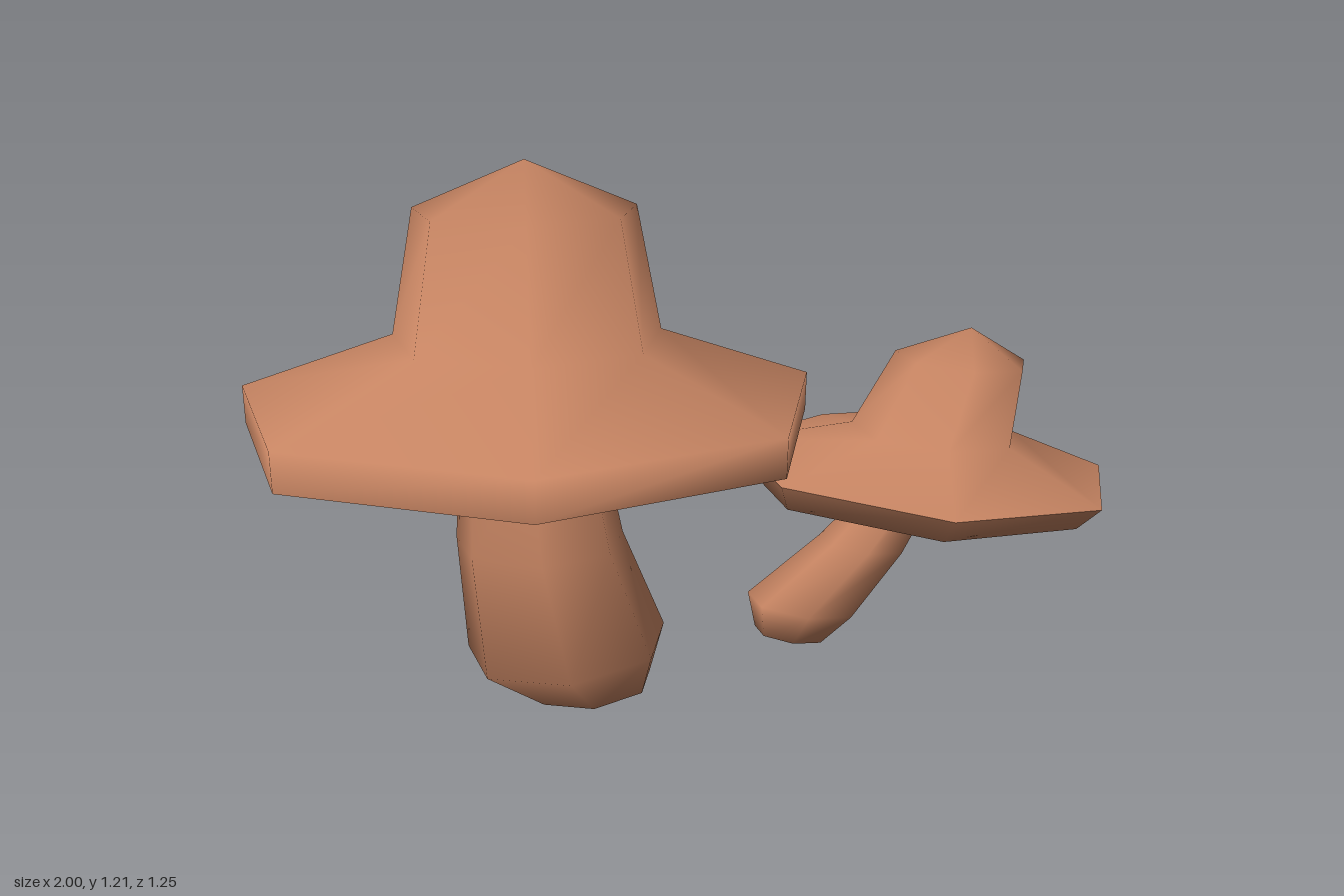
import * as THREE from 'three';
import { mergeVertices } from 'three/addons/utils/BufferGeometryUtils.js';

const SIDES = 7;
const clay = new THREE.MeshStandardMaterial({ color: 0xc68462 });
clay.name = 'terracotta';

// Smooth skin through seven-sided rings, listed from the bottom up.
// Each ring is [x, y, z, radius, slope along x, slope along z].
function loft(name, rings, phaseDegrees) {
  const positions = [], index = [];
  const phase = THREE.MathUtils.degToRad(phaseDegrees);
  rings.forEach(([x, y, z, r, sx = 0, sz = 0], i) => {
    for (let j = 0; j < SIDES; j++) {
      const a = phase + (j / SIDES) * Math.PI * 2;
      const dx = r * Math.cos(a), dz = r * Math.sin(a);
      positions.push(x + dx, y + sx * dx + sz * dz, z + dz);
      if (i === rings.length - 1) continue;
      const p = i * SIDES + j, q = i * SIDES + (j + 1) % SIDES;
      if (r > 0) index.push(p, p + SIDES, q);
      if (rings[i + 1][3] > 0) index.push(q, p + SIDES, q + SIDES);
      else if (r === 0) continue;
    }
  });
  let geometry = new THREE.BufferGeometry();
  geometry.setAttribute('position', new THREE.Float32BufferAttribute(positions, 3));
  geometry.setIndex(index);
  geometry = mergeVertices(geometry); // joins the points of each closed tip
  geometry.computeVertexNormals();
  const mesh = new THREE.Mesh(geometry, clay);
  mesh.name = name;
  return mesh;
}

function largeMushroom() {
  const group = new THREE.Group();
  group.name = 'largeMushroom';
  const x = -0.4, z = 0.01, phase = 5.4;
  // Bulbous stem
  group.add(loft('largeStem', [
    [-0.265, 0.015, 0.0, 0],
    [-0.265, 0.02, 0.0, 0.14, 0.09],
    [-0.325, 0.13, 0.01, 0.228, 0.09],
    [-0.39, 0.39, 0.03, 0.188],
    [-0.4, 0.64, 0.0, 0.155],
  ], phase));
  // Brim and crown
  group.add(loft('largeCap', [
    [x, 0.63, z, 0.64],
    [x, 0.715, z, 0.643],
    [x, 0.84, z, 0.298],
    [x, 1.115, z, 0.245],
    [x, 1.22, z, 0],
  ], phase));
  // Flat underside
  group.add(loft('largeCapUnderside', [[x, 0.63, z, 0], [x, 0.63, z, 0.64]], phase));
  return group;
}

function smallMushroom() {
  const group = new THREE.Group();
  group.name = 'smallMushroom';
  const phase = 9.5;
  const rim = [0.548, 0.465, 0.08, 0.456, -0.079, -0.025];
  // Leaning stem
  group.add(loft('smallStem', [
    [0.29, 0.02, -0.09, 0],
    [0.29, 0.02, -0.09, 0.088, -0.15],
    [0.33, 0.09, -0.1, 0.138, -0.14],
    [0.46, 0.245, -0.04, 0.108, -0.13],
    [0.56, 0.425, 0.03, 0.072, -0.13],
  ], phase));
  // Brim and crown
  group.add(loft('smallCap', [
    rim,
    [0.565, 0.548, 0.1, 0.195, -0.066, -0.02],
    [0.62, 0.722, 0.12, 0.155, -0.08, -0.02],
    [0.635, 0.795, 0.13, 0],
  ], phase));
  // Bevelled edge and underside
  group.add(loft('smallCapUnderside', [
    [0.535, 0.41, 0.07, 0],
    [0.535, 0.41, 0.07, 0.415, -0.074, -0.03],
    rim,
  ], phase));
  return group;
}

export function createModel() {
  const model = new THREE.Group();
  model.name = 'mushrooms';
  model.add(largeMushroom(), smallMushroom());
  return model;
}
